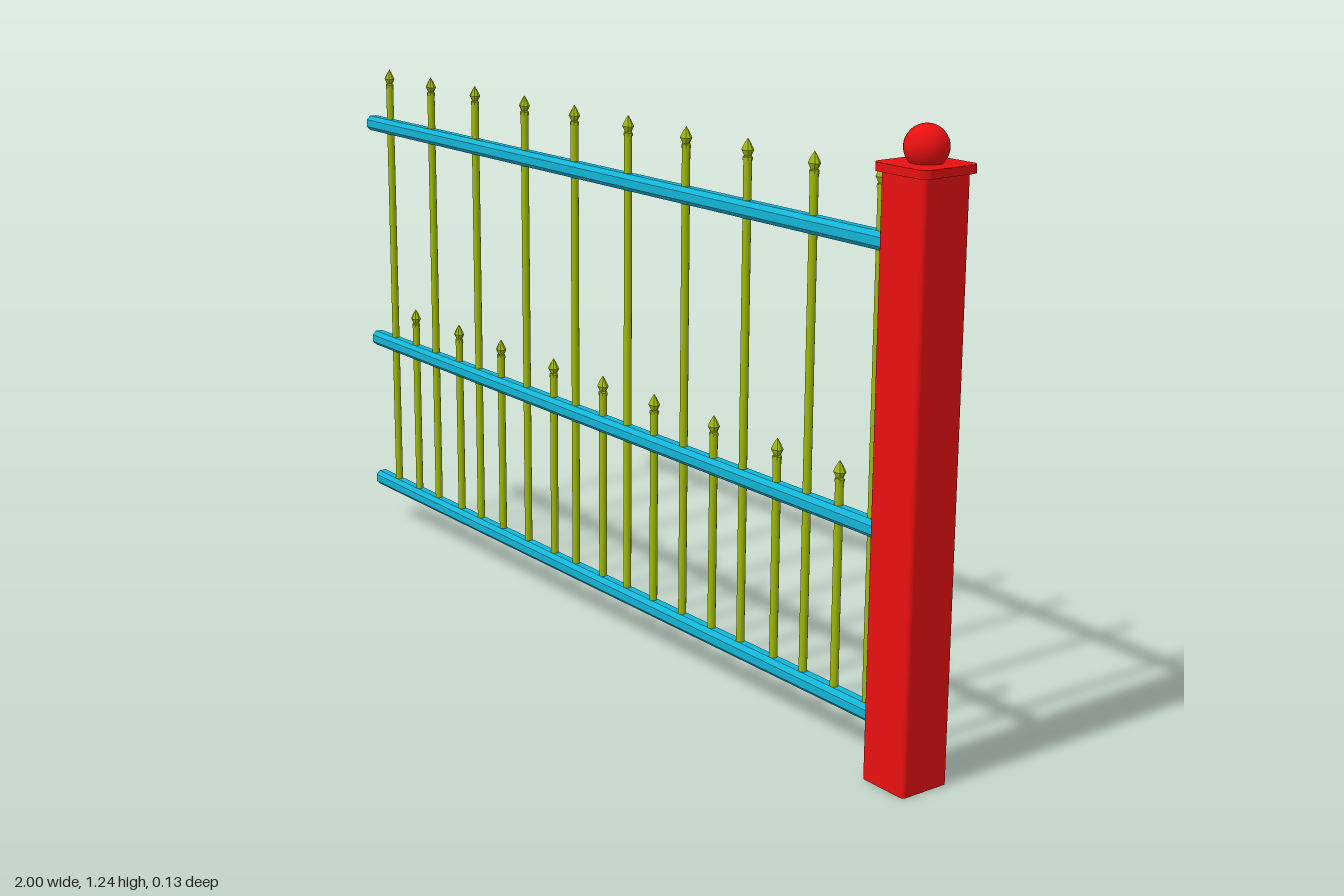
import * as THREE from 'three';

const RED = new THREE.MeshStandardMaterial({ color: 0xe81010 });
const BLUE = new THREE.MeshStandardMaterial({ color: 0x12b4d6, flatShading: true });
const GREEN = new THREE.MeshStandardMaterial({ color: 0x9fb80a });
const GREEN_FLAT = new THREE.MeshStandardMaterial({ color: 0x9fb80a, flatShading: true });

// Square outline with rounded corners
function roundedSquare(half, r) {
  const s = new THREE.Shape();
  const c = half - r;
  s.absarc(c, c, r, 0, Math.PI / 2);
  s.absarc(-c, c, r, Math.PI / 2, Math.PI);
  s.absarc(-c, -c, r, Math.PI, Math.PI * 1.5);
  s.absarc(c, -c, r, Math.PI * 1.5, Math.PI * 2);
  s.closePath();
  return s;
}

// Prism with a rounded square section, standing from y0 to y1
function column(half, r, y0, y1) {
  const g = new THREE.ExtrudeGeometry(roundedSquare(half, r), {
    depth: y1 - y0, bevelEnabled: false, curveSegments: 5,
  });
  return g.rotateX(-Math.PI / 2).translate(0, y0, 0);
}

function part(name, geometry, material, parent, x = 0, y = 0) {
  const mesh = new THREE.Mesh(geometry, material);
  mesh.name = name;
  mesh.position.set(x, y, 0);
  parent.add(mesh);
  return mesh;
}

export function createModel() {
  const model = new THREE.Group();
  model.name = 'fence';

  // End post with cap and ball
  const post = new THREE.Group();
  post.name = 'post';
  post.position.x = 0.931;
  part('postShaft', column(0.056, 0.009, 0, 1.15), RED, post);
  part('postCap', column(0.067, 0.018, 1.15, 1.166), RED, post);
  part('postBall', new THREE.SphereGeometry(0.041, 32, 20), RED, post, 0, 1.194);
  model.add(post);

  // Rails with chamfered edges
  const h = 0.0175, c = 0.0085;
  const section = new THREE.Shape([
    [h, -c], [h, c], [c, h], [-c, h], [-h, c], [-h, -c], [-c, -h], [c, -h],
  ].map(([x, y]) => new THREE.Vector2(x, y)));
  const railGeometry = new THREE.ExtrudeGeometry(section, { depth: 1.878, bevelEnabled: false })
    .rotateY(Math.PI / 2);
  [['lowerRail', 0.105], ['middleRail', 0.471], ['upperRail', 1.012]].forEach(([name, y]) =>
    part(name, railGeometry, BLUE, model, -1, y));

  // Spear tip, flattened front to back
  const tipGeometry = new THREE.LatheGeometry([
    [0, 0], [0.011, 0], [0.011, 0.006], [0.008, 0.009], [0.014, 0.02], [0.007, 0.033], [0, 0.043],
  ].map(([x, y]) => new THREE.Vector2(x, y)), 8).scale(1, 1, 0.8);

  // Pickets rise from the lower rail
  const bottom = 0.105;
  function pickets(name, top, xs) {
    const row = new THREE.Group();
    row.name = name;
    const length = top - 0.035 - bottom;
    const bar = new THREE.CylinderGeometry(0.0085, 0.0085, length, 12).translate(0, length / 2, 0);
    for (const x of xs) {
      part('picketBar', bar, GREEN, row, x, bottom);
      part('picketTip', tipGeometry, GREEN_FLAT, row, x, top - 0.043);
    }
    model.add(row);
  }
  pickets('tallPickets', 1.15,
    [-0.915, -0.724, -0.532, -0.329, -0.137, 0.056, 0.251, 0.444, 0.638, 0.822]);
  pickets('shortPickets', 0.577,
    [-0.816, -0.618, -0.436, -0.222, -0.034, 0.15, 0.35, 0.548, 0.73]);

  return model;
}
